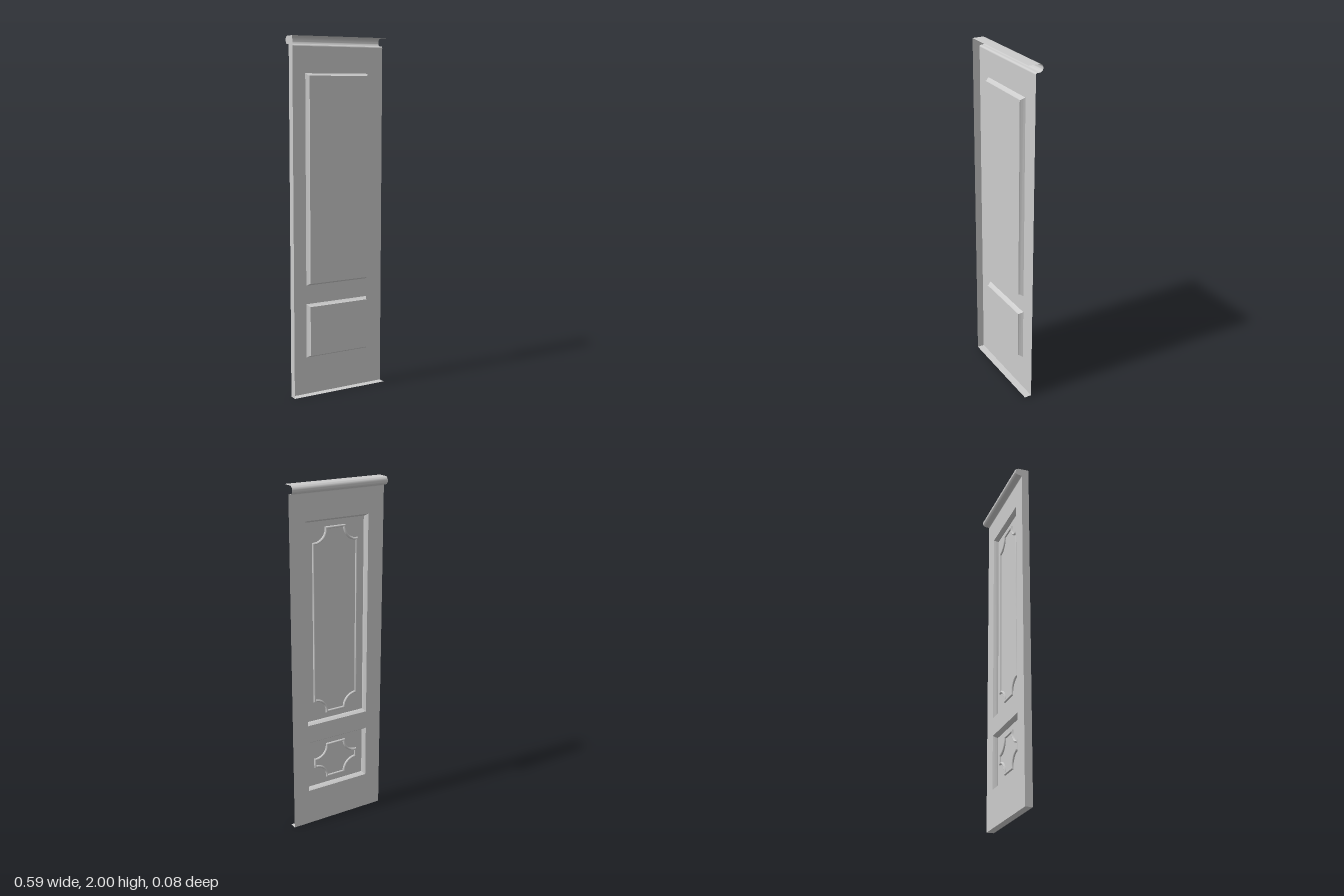
import * as THREE from 'three';
import { toCreasedNormals } from 'three/addons/utils/BufferGeometryUtils.js';

const W = 0.297, DEPTH = 0.042, RECESS = 0.026, BEVEL = 0.013, FACE_TOP = 1.947;
const material = new THREE.MeshStandardMaterial({ color: 0xcccccc, side: THREE.DoubleSide });

function addMesh(parent, name, geometry) {
  const mesh = new THREE.Mesh(geometry, material);
  mesh.name = name;
  parent.add(mesh);
  return mesh;
}

// Skin a list of equal-length rows of [x, y, z] points
function skin(rows, crease = 0.6) {
  const n = rows[0].length, index = [];
  for (let i = 0; i < rows.length - 1; i++) {
    for (let j = 0; j < n - 1; j++) {
      const a = i * n + j, b = a + n;
      index.push(a, b, a + 1, b, b + 1, a + 1);
    }
  }
  const g = new THREE.BufferGeometry();
  g.setAttribute('position', new THREE.Float32BufferAttribute(rows.flat(2), 3));
  g.setIndex(index);
  return toCreasedNormals(g, crease);
}

// Sweep a section of [inward offset, z] round a closed anticlockwise outline, mitring corners
function sweepOutline(path, section) {
  const n = path.length;
  const normal = (a, b) => new THREE.Vector2(a.y - b.y, b.x - a.x).normalize();
  const mitres = path.map((p, i) => {
    const n1 = normal(path[(i + n - 1) % n], p), n2 = normal(p, path[(i + 1) % n]);
    return n1.clone().add(n2).divideScalar(1 + n1.dot(n2));
  });
  const rows = section.map(([d, z]) => {
    const row = path.map((p, i) => [p.x + mitres[i].x * d, p.y + mitres[i].y * d, z]);
    return [...row, row[0]];
  });
  return skin(rows);
}

function rectangle(x, y0, y1) {
  return [[-x, y0], [x, y0], [x, y1], [-x, y1]].map(([a, b]) => new THREE.Vector2(a, b));
}

// Rectangle whose corners are scooped out by quarter circles with small steps
function scoopedOutline(x, y0, y1, notch, step) {
  const pts = [], r = notch - step;
  const corners = [[x, y0, Math.PI], [x, y1, -Math.PI / 2], [-x, y1, 0], [-x, y0, Math.PI / 2]];
  for (const [cx, cy, start] of corners) {
    const at = (radius, a) => new THREE.Vector2(cx + radius * Math.cos(a), cy + radius * Math.sin(a));
    const end = start - Math.PI / 2;
    const inner = (a, b) => at(r, a).add(new THREE.Vector2(-Math.sign(cx) * step * b[0], b[1]));
    const dy = cy === y0 ? step : -step;
    pts.push(at(notch, start));
    for (let i = 0; i <= 10; i++) pts.push(inner(start + (end - start) * i / 10, [1, dy]));
    pts.push(at(notch, end));
  }
  return pts;
}

export function createModel() {
  const door = new THREE.Group();
  door.name = 'panelledDoor';
  const panels = [
    { name: 'upperPanel', x: 0.185, y0: 0.642, y1: 1.79, bead: [0.145, 0.675, 1.757] },
    { name: 'lowerPanel', x: 0.185, y0: 0.226, y1: 0.51, bead: [0.145, 0.258, 0.478] },
  ];

  // Flat face with the panel openings cut out
  const face = new THREE.Shape(rectangle(W, 0, FACE_TOP));
  for (const p of panels) {
    face.holes.push(new THREE.Path(rectangle(p.x + BEVEL, p.y0 - BEVEL, p.y1 + BEVEL).reverse()));
  }
  addMesh(door, 'doorFace', new THREE.ShapeGeometry(face).rotateY(Math.PI));

  // Recessed panels: sloped border, flat field and half-round bead
  for (const p of panels) {
    const group = new THREE.Group();
    group.name = p.name;
    door.add(group);
    const outer = rectangle(p.x + BEVEL, p.y0 - BEVEL, p.y1 + BEVEL);
    const border = [[0, 0], [0.003, 0.005], [0.008, 0.012], [0.012, 0.019], [BEVEL, RECESS]];
    addMesh(group, 'panelBorder', sweepOutline(outer, border));
    const field = new THREE.ShapeGeometry(new THREE.Shape(rectangle(p.x, p.y0, p.y1)));
    addMesh(group, 'panelField', field.rotateY(Math.PI).translate(0, 0, RECESS));
    const bead = [];
    for (let i = 0; i <= 6; i++) {
      const a = Math.PI * i / 6;
      bead.push([0.007 - 0.007 * Math.cos(a), RECESS - 0.009 * Math.sin(a)]);
    }
    addMesh(group, 'panelBead', sweepOutline(scoopedOutline(...p.bead, 0.08, 0.01), bead));
  }

  // Turned edges: one side and the bottom; the other side is open
  const side = addMesh(door, 'sideEdge', new THREE.PlaneGeometry(DEPTH, 2).rotateY(-Math.PI / 2));
  side.position.set(-W, 1, DEPTH / 2);
  const bottom = addMesh(door, 'bottomEdge', new THREE.PlaneGeometry(2 * W, DEPTH).rotateX(Math.PI / 2));
  bottom.position.set(0, 0, DEPTH / 2);

  // Hollow top moulding: flat top, rounded nose and a small cove back to the face
  const profile = [[DEPTH, 2], [0, 2]];
  for (let i = 0; i <= 12; i++) {
    const a = Math.PI / 2 + Math.PI * i / 12;
    profile.push([-0.02 + 0.022 * Math.cos(a), 1.978 + 0.022 * Math.sin(a)]);
  }
  profile.push([-0.009, 1.956], [-0.004, 1.955], [-0.001, 1.952], [0, FACE_TOP]);
  const stations = [[W, 1], [-W + 0.008, 1], [-W + 0.002, 0.94], [-W, 0.85]];
  const rows = stations.map(([x, k]) => profile.map(([z, y]) => [x, y, z < 0 ? z * k : z]));
  addMesh(door, 'topMoulding', skin(rows, 0.7));

  // Closed end of the moulding
  const endShape = new THREE.Shape(profile.map(([z, y]) => new THREE.Vector2(z < 0 ? z * 0.85 : z, y)));
  const end = addMesh(door, 'mouldingEnd', new THREE.ShapeGeometry(endShape).rotateY(-Math.PI / 2));
  end.position.x = -W;
  return door;
}
